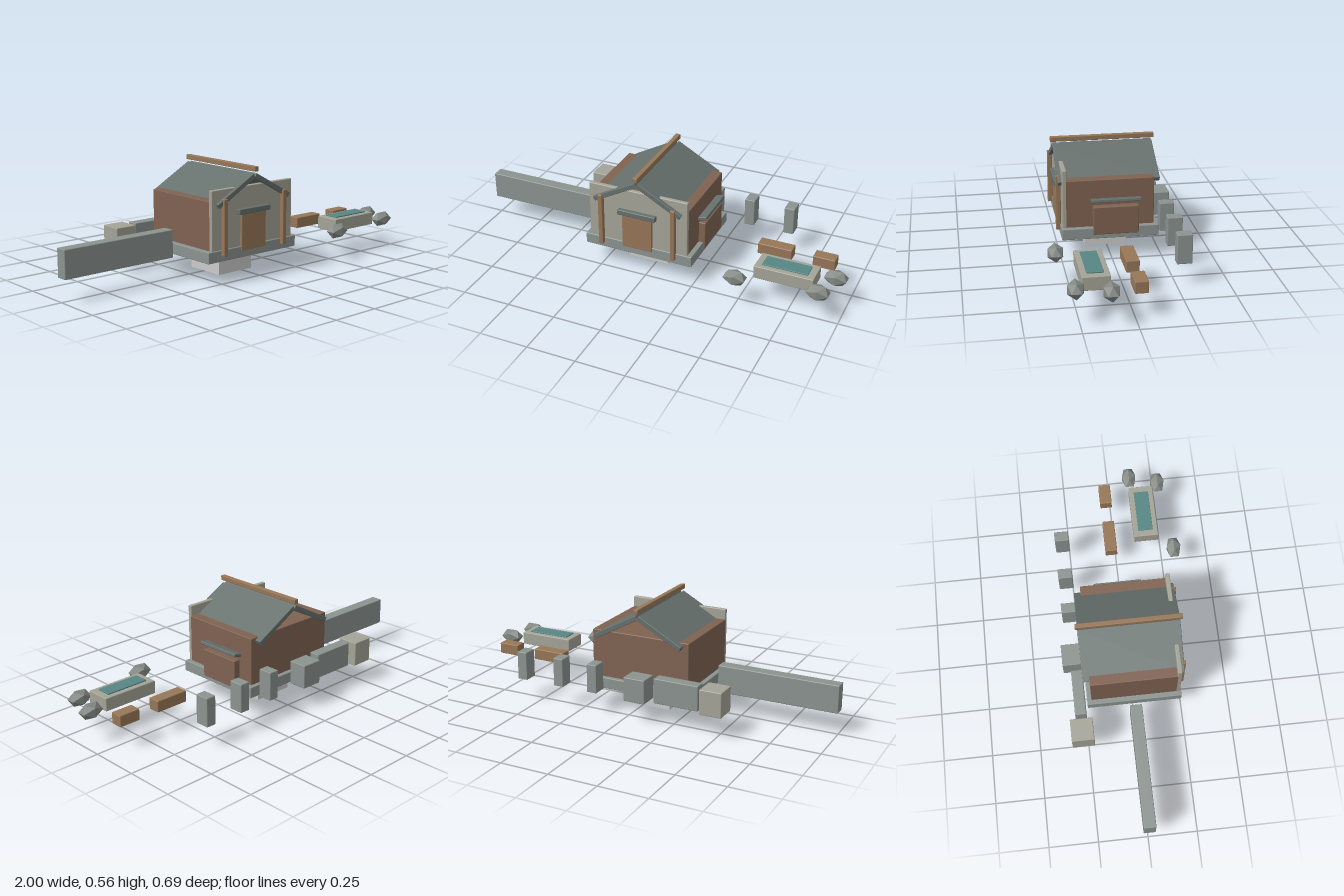
import * as THREE from 'three';
import { RoundedBoxGeometry } from 'three/addons/geometries/RoundedBoxGeometry.js';

const material = (color) => new THREE.MeshStandardMaterial({ color });
const STONE = material(0x8b938f);
const PALE = material(0xa3a397);
const ROOF = material(0x66706d);
const WALL = material(0x7f6251);
const WOOD = material(0x967657);
const WATER = material(0x568684);
const GREY = material(0xcccccc);
const ROCK = material(0x838883);
ROCK.flatShading = true;

// Softly bevelled box given by its [min, max] ranges
function block(parent, name, mat, [x0, x1], [y0, y1], [z0, z1], bevel = 0.004) {
  const size = [x1 - x0, y1 - y0, z1 - z0];
  const geometry = bevel
    ? new RoundedBoxGeometry(...size, 2, Math.min(bevel, Math.min(...size) / 4))
    : new THREE.BoxGeometry(...size);
  const mesh = new THREE.Mesh(geometry, mat);
  mesh.name = name;
  mesh.position.set((x0 + x1) / 2, (y0 + y1) / 2, (z0 + z1) / 2);
  parent.add(mesh);
  return mesh;
}

function createHouse() {
  const house = new THREE.Group();
  house.name = 'house';
  const cx = -0.043;
  const cz = 0.0065;

  // Base
  block(house, 'foundation', GREY, [-0.151, 0.066], [0, 0.113], [-0.101, 0.114], 0);
  block(house, 'platform', STONE, [-0.332, 0.247], [0.111, 0.168], [-0.235, 0.248]);

  // Walls and stone front
  block(house, 'walls', WALL, [-0.307, 0.222], [0.15, 0.41], [-0.213, 0.227]);
  block(house, 'stoneFront', PALE, [-0.307, 0.222], [0.15, 0.464], [0.22, 0.242]);

  // Front door with lintel
  block(house, 'frontDoor', WOOD, [-0.125, 0.036], [0.146, 0.335], [0.23, 0.254]);
  block(house, 'doorLintel', ROOF, [-0.146, 0.058], [0.328, 0.356], [0.225, 0.264]);

  // Porch posts
  for (const side of [-1, 1]) {
    const x = cx + side * 0.195;
    block(house, 'porchPost', WOOD, [x - 0.012, x + 0.012], [0.137, 0.419], [0.243, 0.268]);
  }

  // Side door with a tilted awning
  block(house, 'sideDoor', WALL, [0.21, 0.257], [0.135, 0.279], [-0.132, 0.093]);
  const awning = block(house, 'sideAwning', ROOF, [0.207, 0.267], [0.3, 0.317], [-0.143, 0.104]);
  awning.rotation.z = 0.22;

  // Two roof slopes and the ridge beam
  for (const side of [-1, 1]) {
    const x = cx + side * 0.1175;
    const slope = block(house, 'roofSlope', ROOF,
      [x - 0.131, x + 0.131], [0.436, 0.461], [cz - 0.253, cz + 0.253], 0.003);
    slope.rotation.z = -side * 0.5;
  }
  block(house, 'ridgeBeam', WOOD, [cx - 0.012, cx + 0.012], [0.531, 0.556], [cz - 0.264, cz + 0.264], 0.003);
  return house;
}

function createGarden() {
  const garden = new THREE.Group();
  garden.name = 'garden';

  // Walls and stone blocks on the right and behind
  block(garden, 'longWall', STONE, [-1, -0.38], [0.113, 0.254], [-0.024, 0.037]);
  block(garden, 'backWall', STONE, [-0.398, -0.163], [0.112, 0.24], [-0.302, -0.245]);
  block(garden, 'cornerBlock', PALE, [-0.532, -0.417], [0.112, 0.239], [-0.331, -0.217]);
  block(garden, 'backBlock', STONE, [-0.132, -0.018], [0.112, 0.235], [-0.342, -0.245]);

  // Row of standing stones
  for (const x of [0.173, 0.367, 0.582]) {
    block(garden, 'standingStone', STONE, [x - 0.027, x + 0.027], [0.112, 0.259], [-0.321, -0.247]);
  }

  // Benches
  for (const xs of [[0.505, 0.682], [0.79, 0.903]]) {
    block(garden, 'bench', WOOD, xs, [0.122, 0.18], [-0.057, 0.006]);
  }

  // Pool
  block(garden, 'poolBasin', PALE, [0.564, 0.861], [0.132, 0.199], [0.104, 0.234]);
  block(garden, 'poolWater', WATER, [0.597, 0.826], [0.18, 0.205], [0.13, 0.208], 0.002);

  // Rocks around the pool
  for (const [x, z] of [[0.497, 0.309], [0.896, 0.266], [0.941, 0.115]]) {
    const rock = new THREE.Mesh(new THREE.IcosahedronGeometry(0.043, 0), ROCK);
    rock.name = 'rock';
    rock.scale.x = 1.5;
    rock.position.set(x, 0.162, z);
    garden.add(rock);
  }
  return garden;
}

export function createModel() {
  const model = new THREE.Group();
  model.name = 'cottageWithGarden';
  model.add(createHouse(), createGarden());
  return model;
}
